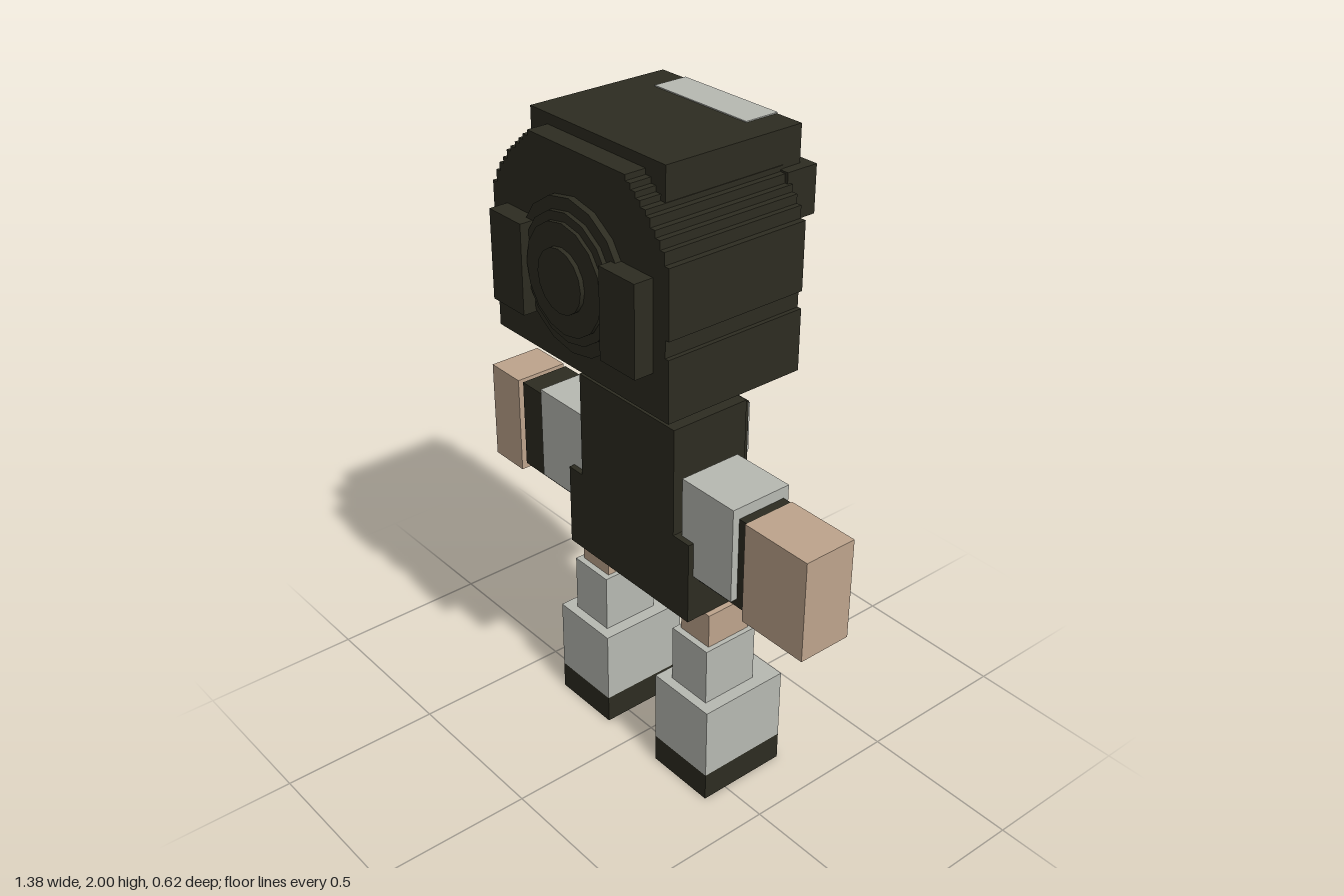
import * as THREE from 'three';

const make = (name, color) => Object.assign(new THREE.MeshStandardMaterial({ color }), { name });

export function createModel() {
  const dark = make('dark cloth and hair', 0x2d2c21);
  const skin = make('skin', 0xbfa58d);
  const light = make('pale grey', 0xb8bab3);
  const model = new THREE.Group();
  model.name = 'figure';

  const group = (name) => {
    const g = new THREE.Group();
    g.name = name;
    model.add(g);
    return g;
  };
  const add = (parent, name, geometry, material) => {
    const mesh = new THREE.Mesh(geometry, material);
    mesh.name = name;
    parent.add(mesh);
    return mesh;
  };
  // Box given by its two limits on each axis
  const box = (parent, name, material, x0, x1, y0, y1, z0, z1) => {
    const mesh = add(parent, name, new THREE.BoxGeometry(x1 - x0, y1 - y0, z1 - z0), material);
    mesh.position.set((x0 + x1) / 2, (y0 + y1) / 2, (z0 + z1) / 2);
    return mesh;
  };

  // Legs: shin, sock, boot and sole
  for (const side of [-1, 1]) {
    const leg = group(side > 0 ? 'leftLeg' : 'rightLeg');
    const c = side * 0.23 + 0.003;
    box(leg, 'shin', skin, c - 0.06, c + 0.06, 0.51, 0.62, -0.12, 0.03);
    box(leg, 'sock', light, c - 0.075, c + 0.075, 0.325, 0.51, -0.135, 0.05);
    box(leg, 'boot', light, c - 0.115, c + 0.115, 0.09, 0.325, -0.213, 0.08);
    box(leg, 'sole', dark, c - 0.115, c + 0.115, 0, 0.09, -0.213, 0.08);
  }

  // Torso with raised bib
  const torso = group('torso');
  box(torso, 'chest', dark, -0.2, 0.21, 0.88, 1.215, -0.165, 0.095);
  box(torso, 'skirt', dark, -0.26, 0.275, 0.62, 0.88, -0.165, 0.095);
  box(torso, 'bibLower', dark, -0.21, 0.22, 0.77, 0.88, -0.197, -0.165);
  box(torso, 'bibUpper', dark, -0.17, 0.185, 0.88, 1.19, -0.197, -0.165);
  box(torso, 'neck', skin, -0.08, 0.09, 1.215, 1.33, -0.135, 0.03);

  // Collar and scarf
  box(torso, 'collar', light, -0.12, 0.13, 1.15, 1.22, -0.212, -0.14);
  box(torso, 'scarf', light, -0.15, 0.155, 1.0, 1.16, -0.23, -0.19);
  box(torso, 'scarfTail', light, -0.055, 0.06, 0.93, 1.0, -0.23, -0.19);
  box(torso, 'scarfPatch', skin, -0.045, 0.055, 1.03, 1.12, -0.234, -0.229);

  // Arms, the right one reaching further out at the cuff
  const left = group('leftArm');
  box(left, 'cuff', dark, 0.2, 0.458, 0.745, 1.03, -0.105, 0.055);
  box(left, 'sleeve', light, 0.225, 0.43, 0.77, 1.065, -0.123, 0.077);
  box(left, 'hand', skin, 0.458, 0.69, 0.715, 1.03, -0.11, 0.06);
  const right = group('rightArm');
  box(right, 'cuff', dark, -0.538, -0.19, 0.745, 1.03, -0.105, 0.055);
  box(right, 'sleeve', light, -0.417, -0.215, 0.77, 1.065, -0.123, 0.077);
  box(right, 'hand', skin, -0.69, -0.555, 0.715, 1.03, -0.11, 0.06);

  // Hair: stair-stepped outline pushed through the depth of the head
  const head = group('head');
  const steps = [[0.36, 1.785], [0.342, 1.82], [0.326, 1.845], [0.308, 1.865], [0.29, 1.89],
    [0.272, 1.905], [0.252, 1.922], [0.234, 1.938], [0.216, 1.954], [0.196, 1.97]];
  const hair = new THREE.Shape();
  const mid = 0.005;
  hair.moveTo(mid - 0.36, 1.36);
  hair.lineTo(mid + 0.36, 1.36);
  // shallow groove along one side
  for (const [x, y] of [[0.36, 1.54], [0.347, 1.54], [0.347, 1.59], [0.36, 1.59]]) hair.lineTo(mid + x, y);
  for (const [x, y] of steps) {
    hair.lineTo(mid + x, steps[Math.max(0, steps.findIndex((s) => s[0] === x) - 1)][1]);
    hair.lineTo(mid + x, y);
  }
  for (let i = steps.length - 1; i >= 0; i--) {
    hair.lineTo(mid - steps[i][0], steps[i][1]);
    if (i > 0) hair.lineTo(mid - steps[i][0], steps[i - 1][1]);
  }
  const hairMesh = add(head, 'hair', new THREE.ExtrudeGeometry(hair, { depth: 0.447, bevelEnabled: false }), dark);
  hairMesh.position.z = -0.2;
  box(head, 'crown', dark, -0.263, 0.275, 1.87, 2.0, -0.26, 0.183);
  box(head, 'fringe', dark, -0.293, 0.305, 1.76, 1.895, -0.29, -0.19);

  // Pads and coiled bun on the +z side
  box(head, 'hairPad', dark, -0.293, -0.157, 1.48, 1.74, 0.24, 0.305);
  box(head, 'hairPad', dark, 0.167, 0.305, 1.48, 1.74, 0.24, 0.305);
  for (const [r, z] of [[0.215, 0.266], [0.18, 0.279], [0.155, 0.29], [0.09, 0.303]]) {
    const ring = add(head, 'bunRing', new THREE.CylinderGeometry(r, r, z - 0.2, 16).toNonIndexed(), dark);
    ring.rotation.x = Math.PI / 2;
    ring.position.set(0, 1.635, (z + 0.2) / 2);
  }
  // Rounded nape under the head
  for (const [r, y] of [[0.185, 1.345], [0.145, 1.33], [0.12, 1.315], [0.08, 1.3]]) {
    const nape = add(head, 'nape', new THREE.CylinderGeometry(r, r, 1.38 - y, 16), dark);
    nape.scale.z = 0.8;
    nape.position.set(0, (y + 1.38) / 2, 0.075);
  }

  // Face with stepped forehead, eyes and highlights
  box(head, 'face', skin, -0.235, 0.245, 1.385, 1.77, -0.303, -0.19);
  box(head, 'forehead', skin, -0.19, 0.2, 1.77, 1.86, -0.303, -0.28);
  for (const x of [-0.16, 0.05]) {
    box(head, 'eye', dark, x, x + 0.125, 1.56, 1.71, -0.307, -0.302);
    box(head, 'eyeHighlight', light, x, x + 0.06, 1.64, 1.69, -0.31, -0.306);
  }

  // Headband badge wrapping the top edge
  box(head, 'headbandPlate', light, -0.172, 0.185, 1.905, 1.99, -0.265, -0.2);
  box(head, 'headbandTop', light, -0.172, 0.185, 1.985, 2.003, -0.262, -0.155);
  return model;
}
